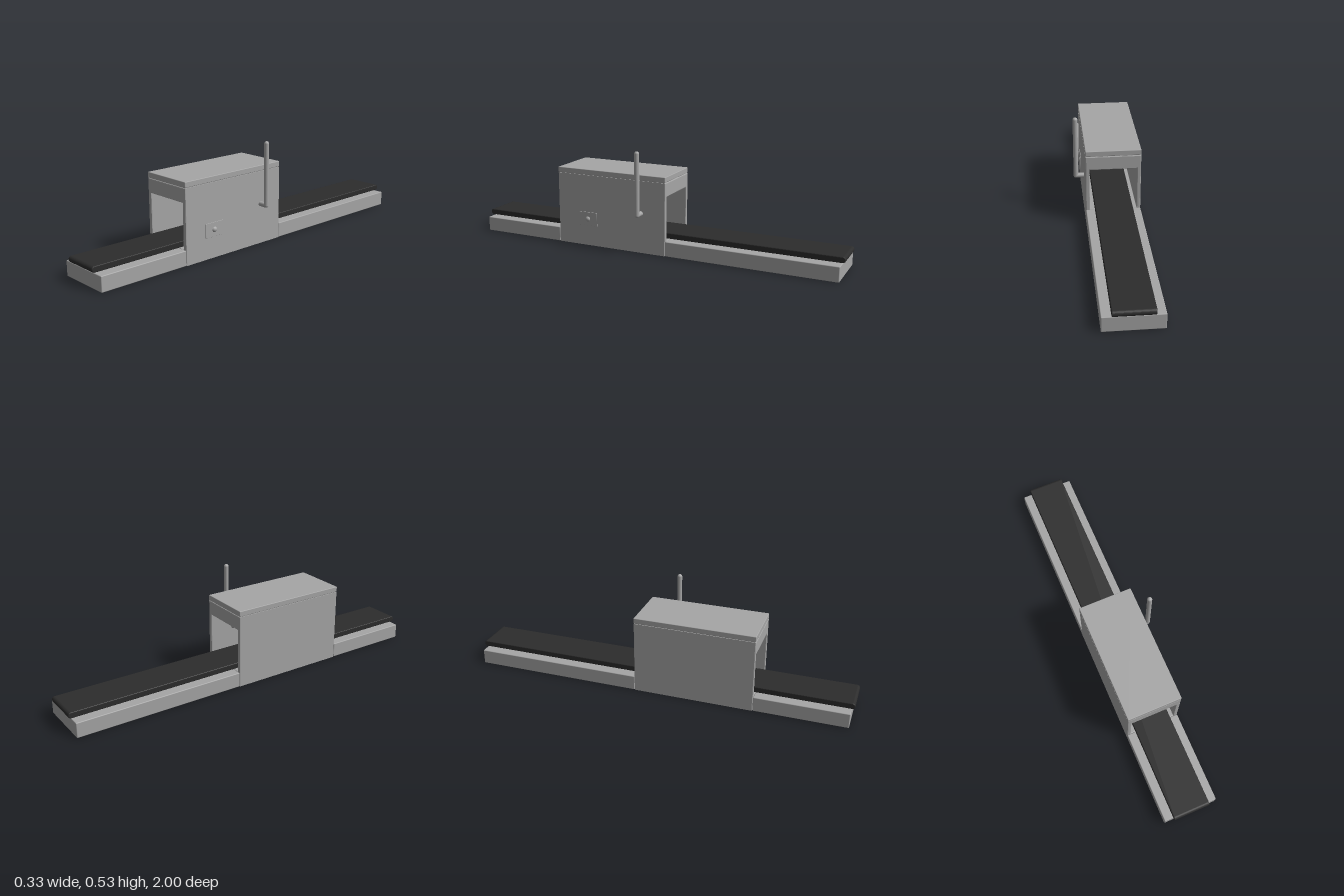
import * as THREE from 'three';
import { RoundedBoxGeometry } from 'three/addons/geometries/RoundedBoxGeometry.js';

export function createModel() {
  const model = new THREE.Group();
  const casing = new THREE.MeshStandardMaterial({ color: 0xa6a6a6 });
  casing.name = 'grey casing';
  const rubber = new THREE.MeshStandardMaterial({ color: 0x2c2c2c });
  rubber.name = 'black rubber';

  const CX = -0.027, W = 0.28;          // body centre and width
  const BACK = -0.105, FRONT = 0.515;   // ends of the tunnel housing
  const END = 0.985, DECK = 0.077;      // ends and top of the base

  function add(name, geometry, material, x = 0, y = 0, z = 0) {
    const mesh = new THREE.Mesh(geometry, material);
    mesh.name = name;
    mesh.position.set(x, y, z);
    model.add(mesh);
    return mesh;
  }

  // Box given by its extents, with softened edges
  function box(name, [x0, x1], [y0, y1], [z0, z1], radius) {
    return add(name, new RoundedBoxGeometry(x1 - x0, y1 - y0, z1 - z0, 2, radius), casing,
      (x0 + x1) / 2, (y0 + y1) / 2, (z0 + z1) / 2);
  }

  function rectangle(path, x0, y0, x1, y1) {
    path.moveTo(x0, y0);
    path.lineTo(x1, y0);
    path.lineTo(x1, y1);
    path.lineTo(x0, y1);
    path.closePath();
    return path;
  }

  const sides = [CX - W / 2, CX + W / 2];

  // Base beds in front of and behind the tunnel
  box('frontBase', sides, [0, DECK], [FRONT, END], 0.004);
  box('backBase', sides, [0, DECK], [-END, BACK], 0.004);

  // Tunnel housing with a bevelled opening through it
  const b = 0.004;
  const frame = rectangle(new THREE.Shape(), sides[0] + b, b, sides[1] - b, 0.377 - b);
  frame.holes.push(rectangle(new THREE.Path(), -0.147 - b, DECK - b, 0.092 + b, 0.304 + b));
  const housing = new THREE.ExtrudeGeometry(frame, {
    depth: FRONT - BACK - 2 * b, bevelEnabled: true, bevelSize: b, bevelThickness: b, bevelSegments: 2,
  });
  add('tunnelHousing', housing, casing, 0, 0, BACK + b);

  // Lid with a narrow groove beneath it
  box('lidGroove', [sides[0] + 0.004, sides[1] - 0.004], [0.37, 0.385], [BACK + 0.004, FRONT - 0.004], 0.001);
  box('lid', sides, [0.379, 0.407], [BACK, FRONT], 0.003);

  // Conveyor belt: rounded-end strip swept across the width
  const r = 0.015, e = 0.004, beltWidth = 0.191;
  const strip = new THREE.Shape();
  strip.absarc(1 - r, 0, r - e, -Math.PI / 2, Math.PI / 2);
  strip.absarc(-1 + r, 0, r - e, Math.PI / 2, Math.PI * 1.5);
  strip.closePath();
  const belt = new THREE.ExtrudeGeometry(strip, {
    depth: beltWidth - 2 * e, curveSegments: 12,
    bevelEnabled: true, bevelSize: e, bevelThickness: e, bevelSegments: 3,
  });
  belt.translate(0, 0, -beltWidth / 2 + e);
  belt.rotateY(Math.PI / 2);
  add('conveyorBelt', belt, rubber, CX, 0.096, 0);

  // Crank lever: upright handle on a short arm through the wall
  const lr = 0.0125;
  const rod = (length) => new THREE.CapsuleGeometry(lr, length - 2 * lr, 8, 20);
  add('leverHandle', rod(0.339), casing, 0.1545, 0.3655, 0.03);
  add('leverArm', rod(0.084), casing, 0.125, 0.2085, 0.03).rotation.z = Math.PI / 2;

  // Push button on its mounting plate
  box('buttonPlate', [0.110, 0.116], [0.108, 0.18], [0.285, 0.395], 0.001);
  add('button', new THREE.SphereGeometry(0.0155, 20, 14), casing, 0.1095, 0.143, 0.34);

  return model;
}
